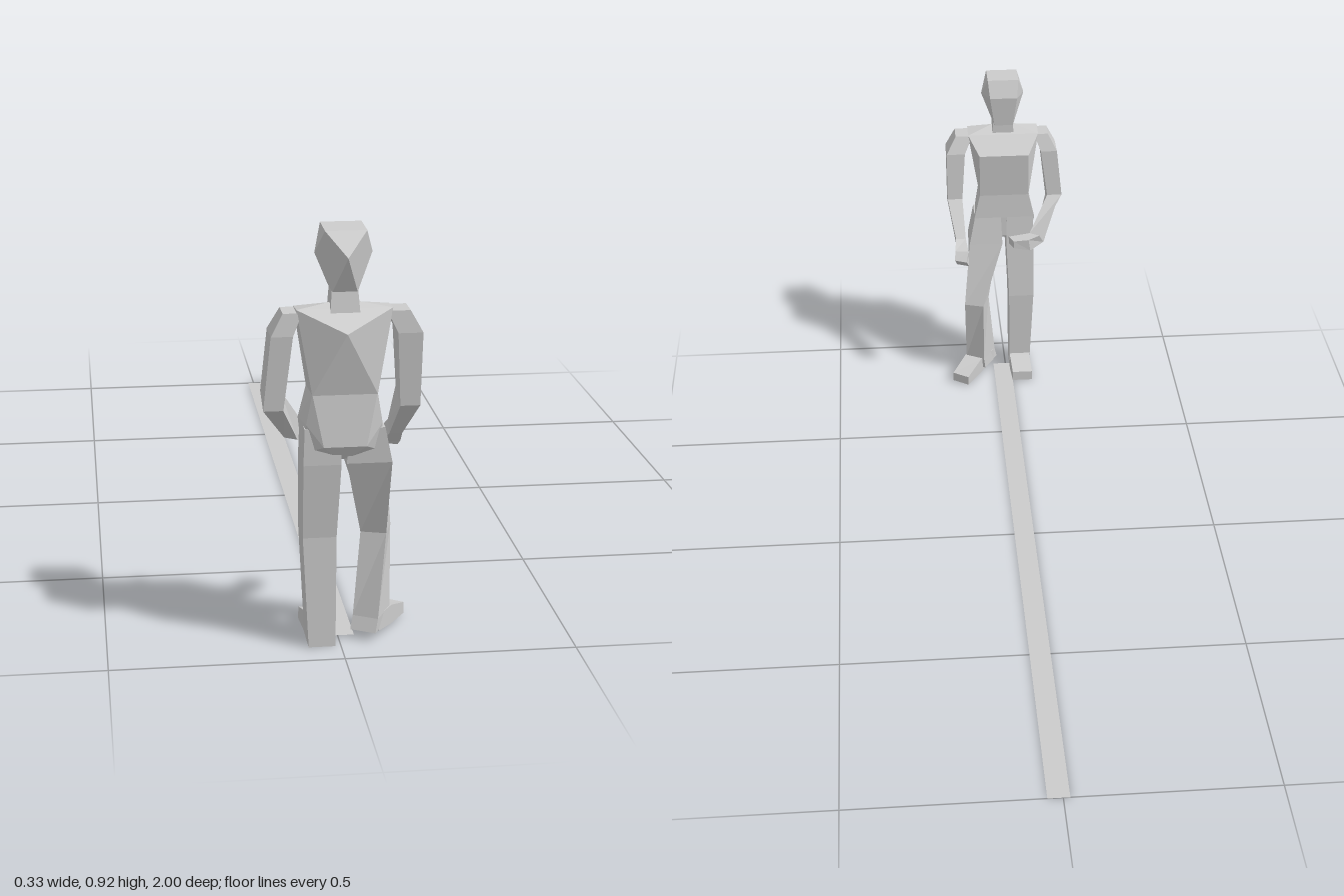
import * as THREE from 'three';
import { ConvexGeometry } from 'three/addons/geometries/ConvexGeometry.js';

const grey = new THREE.MeshStandardMaterial({ color: 0xcccccc, flatShading: true });
const greyThin = new THREE.MeshStandardMaterial({ color: 0xcccccc, flatShading: true, side: THREE.DoubleSide });

function add(parent, name, geometry, material = grey) {
  const mesh = new THREE.Mesh(geometry, material);
  mesh.name = name;
  parent.add(mesh);
  return mesh;
}

// Faceted solid around a few points; points with x != 0 are mirrored.
function mirroredHull(points) {
  const all = [];
  for (const [x, y, z] of points) {
    all.push(new THREE.Vector3(x, y, z));
    if (x !== 0) all.push(new THREE.Vector3(-x, y, z));
  }
  return new ConvexGeometry(all);
}

// Four-sided limb through sections [x, y, z, halfWidth, halfDepth, yaw, pitch], listed from the body outwards.
function limb(sections) {
  const corners = [[-1, -1], [1, -1], [1, 1], [-1, 1]];
  const pos = [];
  for (const [x, y, z, hw, hd, yaw = 0, pitch = 0] of sections) {
    const turn = new THREE.Euler(pitch, yaw, 0, 'YXZ');
    for (const [sx, sz] of corners) {
      const p = new THREE.Vector3(sx * hw, 0, sz * hd).applyEuler(turn);
      pos.push(p.x + x, p.y + y, p.z + z);
    }
  }
  const index = [0, 2, 1, 0, 3, 2];
  for (let i = 0; i < sections.length - 1; i++) {
    for (let j = 0; j < 4; j++) {
      const a = i * 4 + j, b = i * 4 + (j + 1) % 4;
      index.push(a, b, b + 4, a, b + 4, a + 4);
    }
  }
  const e = (sections.length - 1) * 4;
  index.push(e, e + 1, e + 2, e, e + 2, e + 3);
  const indexed = new THREE.BufferGeometry();
  indexed.setAttribute('position', new THREE.Float32BufferAttribute(pos, 3));
  indexed.setIndex(index);
  const geometry = indexed.toNonIndexed();
  geometry.computeVertexNormals();
  return geometry;
}

export function createModel() {
  const model = new THREE.Group();
  model.name = 'standingFigure';

  // Head: flat face towards -z, ridged sides and back
  add(model, 'head', mirroredHull([
    [0.043, 0.92, 0.965], [0.043, 0.922, 0.885],
    [0.06, 0.868, 0.928], [0, 0.87, 1.0], [0.038, 0.875, 0.866],
    [0.026, 0.79, 0.955], [0.026, 0.79, 0.875],
  ]));
  add(model, 'neck', limb([
    [0, 0.81, 0.93, 0.026, 0.022], [0, 0.745, 0.935, 0.031, 0.028],
  ]));

  // Torso: shoulder line, chest, back point and waist
  add(model, 'torso', mirroredHull([
    [0.03, 0.766, 0.94], [0.1, 0.755, 0.955], [0.1, 0.75, 0.9],
    [0, 0.712, 1.0], [0.07, 0.7, 0.862],
    [0.068, 0.575, 0.968], [0.07, 0.57, 0.875],
  ]));
  add(model, 'pelvis', mirroredHull([
    [0.068, 0.578, 0.967], [0.07, 0.572, 0.875],
    [0.08, 0.51, 0.96], [0.087, 0.5, 0.872],
    [0.045, 0.465, 0.978], [0.085, 0.44, 0.935],
    [0.07, 0.44, 0.872], [0.01, 0.43, 0.95], [0, 0.43, 0.885],
  ]));

  // Straight standing leg on the -x side
  add(model, 'straightLeg', limb([
    [-0.045, 0.5, 0.917, 0.038, 0.045], [-0.045, 0.42, 0.912, 0.04, 0.047],
    [-0.047, 0.25, 0.892, 0.036, 0.042], [-0.041, 0, 0.895, 0.029, 0.04],
  ]));
  add(model, 'straightFoot', limb([
    [-0.041, 0.027, 0.89, 0.027, 0.027, 0, Math.PI / 2],
    [-0.041, 0.024, 0.845, 0.029, 0.024, 0, Math.PI / 2],
    [-0.045, 0.014, 0.78, 0.029, 0.014, 0, Math.PI / 2],
  ]));

  // Relaxed leg on the +x side, knee forward and foot turned out
  add(model, 'relaxedLeg', limb([
    [0.048, 0.5, 0.917, 0.038, 0.045], [0.055, 0.42, 0.907, 0.048, 0.047],
    [0.085, 0.237, 0.853, 0.028, 0.032, -0.3], [0.075, 0.05, 0.87, 0.029, 0.037, -0.5],
    [0.07, 0.02, 0.875, 0.029, 0.04, -0.5],
  ]));
  add(model, 'relaxedFoot', limb([
    [0.062, 0.035, 0.89, 0.029, 0.018, -0.5, Math.PI / 2],
    [0.1, 0.03, 0.835, 0.027, 0.022, -0.55, Math.PI / 2],
    [0.14, 0.017, 0.772, 0.026, 0.013, -0.6, Math.PI / 2],
  ]));

  // Arm bent across the front of the hips
  add(model, 'bentArm', limb([
    [-0.108, 0.748, 0.928, 0.02, 0.028], [-0.13, 0.7, 0.922, 0.023, 0.038],
    [-0.146, 0.55, 0.912, 0.021, 0.034, 0, 0.4],
    [-0.09, 0.455, 0.825, 0.016, 0.02, -0.6, 0.9],
  ]));
  add(model, 'bentHand', limb([
    [-0.09, 0.455, 0.825, 0.016, 0.02, -0.6, 0.9],
    [-0.055, 0.45, 0.805, 0.021, 0.018, -1, 1.4],
    [-0.015, 0.455, 0.8, 0.017, 0.011, -1.2, 1.5],
  ]));

  // Arm hanging slightly forward
  add(model, 'hangingArm', limb([
    [0.112, 0.748, 0.928, 0.024, 0.028], [0.137, 0.7, 0.92, 0.026, 0.038],
    [0.142, 0.55, 0.905, 0.021, 0.034, 0, 0.4],
    [0.13, 0.455, 0.822, 0.014, 0.017, 0, 0.8],
  ]));
  add(model, 'hangingHand', limb([
    [0.13, 0.455, 0.822, 0.014, 0.017, 0, 0.8],
    [0.128, 0.43, 0.79, 0.019, 0.018, -0.1, 0.85],
    [0.13, 0.41, 0.767, 0.018, 0.014, -0.4, 0.85],
  ]));

  // Long flat strip on the ground
  const strip = add(model, 'groundStrip', new THREE.PlaneGeometry(0.052, 1.88), greyThin);
  strip.rotation.x = -Math.PI / 2;
  strip.position.set(0.01, 0, -0.06);

  return model;
}
